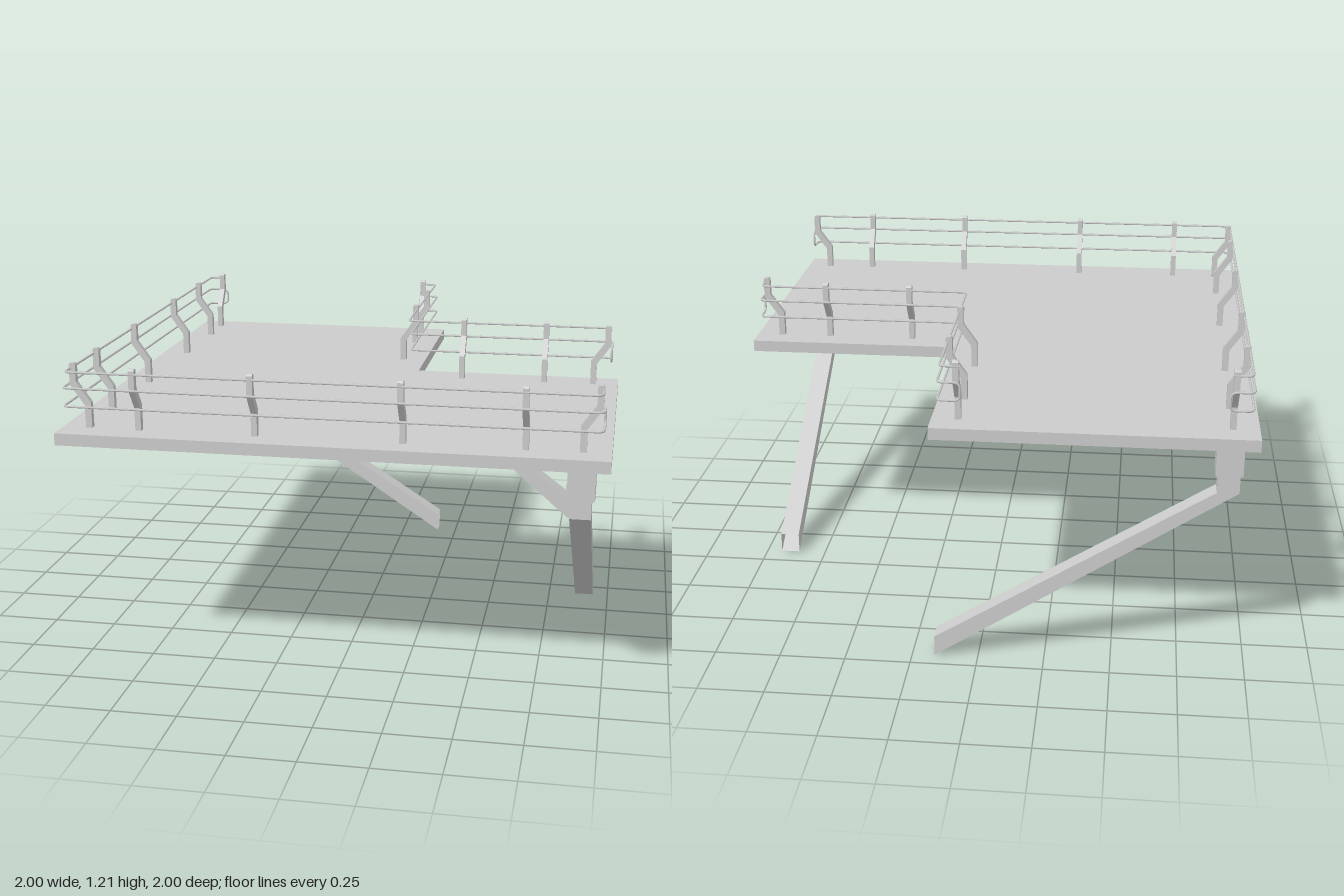
import * as THREE from 'three';

const grey = new THREE.MeshStandardMaterial({ color: 0xcccccc, flatShading: true });
const greyOpen = new THREE.MeshStandardMaterial({ color: 0xcccccc, flatShading: true, side: THREE.DoubleSide });
const smooth = new THREE.MeshStandardMaterial({ color: 0xcccccc });

function add(parent, name, geometry, material = grey) {
  const mesh = new THREE.Mesh(geometry, material);
  mesh.name = name;
  parent.add(mesh);
  return mesh;
}

// L-shaped outline, inset from the deck edge by d
function outline(d) {
  const pts = [
    [-1 + d, 1 - d], [1 - d, 1 - d], [1 - d, -0.17 + d],
    [0.165 - d, -0.17 + d], [0.165 - d, -1 + d], [-1 + d, -1 + d],
  ];
  return pts.map(([x, z]) => new THREE.Vector2(x, -z));
}

function slab(shape, y0, y1) {
  const g = new THREE.ExtrudeGeometry(shape, { depth: y1 - y0, bevelEnabled: false });
  return g.rotateX(-Math.PI / 2).translate(0, y0, 0);
}

// Open four-sided tube through stations of two [u, y] points; place() maps (u, y, w) to space
function channel(stations, place, w, half) {
  const pos = [], index = [];
  for (const [a, b] of stations) {
    pos.push(...place(...a, w - half), ...place(...b, w - half), ...place(...b, w + half), ...place(...a, w + half));
  }
  for (let s = 0; s < stations.length - 1; s++) {
    for (let i = 0; i < 4; i++) {
      const a = s * 4 + i, b = s * 4 + (i + 1) % 4;
      index.push(a, b, a + 4, b, b + 4, a + 4);
    }
  }
  const g = new THREE.BufferGeometry();
  g.setAttribute('position', new THREE.Float32BufferAttribute(pos, 3));
  g.setIndex(index);
  const flat = g.toNonIndexed();
  flat.computeVertexNormals();
  return flat;
}

// Thin round rail through points, with rounded corners
function rail(points, closed, radius = 0.0045) {
  const p = points.map((q) => new THREE.Vector3(...q));
  const n = p.length, r = 0.025;
  const toward = (a, b) => a.clone().add(b.clone().sub(a).setLength(Math.min(r, a.distanceTo(b) * 0.4)));
  const path = new THREE.CurvePath();
  let from = closed ? toward(p[0], p[1]) : p[0];
  for (let i = 1; i < (closed ? n + 1 : n - 1); i++) {
    const c = p[i % n], before = toward(c, p[i - 1]), after = toward(c, p[(i + 1) % n]);
    path.add(new THREE.LineCurve3(from, before));
    path.add(new THREE.QuadraticBezierCurve3(before, c, after));
    from = after;
  }
  if (!closed) path.add(new THREE.LineCurve3(from, p[n - 1]));
  return new THREE.TubeGeometry(path, closed ? 900 : 450, radius, 6, closed);
}

// Cranked post that leans outward along local +x
function postGeometry() {
  const t = 0.012, lean = 0.053;
  const shape = new THREE.Shape([
    [-t, 0.96], [t, 0.96], [t, 1.05], [lean + t, 1.125], [lean + t, 1.2], [lean + t - 0.005, 1.206],
    [lean - t + 0.005, 1.206], [lean - t, 1.2], [lean - t, 1.135], [-t, 1.06],
  ].map((q) => new THREE.Vector2(...q)));
  return new THREE.ExtrudeGeometry(shape, { depth: 0.022, bevelEnabled: false }).translate(0, 0, -0.011);
}

function railing(name, path, topPath, posts) {
  const g = new THREE.Group();
  g.name = name;
  add(g, 'topRail', rail(topPath.map(([x, z]) => [x, 1.186, z]), false), smooth);
  // middle and lower rails form one closed loop
  const loop = [...path.map(([x, z]) => [x, 1.128, z]), ...path.map(([x, z]) => [x, 1.06, z]).reverse()];
  add(g, 'lowerRails', rail(loop, true), smooth);
  const geo = postGeometry();
  for (const [x, z, turns] of posts) {
    const m = add(g, 'railPost', geo);
    m.position.set(x, 0, z);
    m.rotation.y = turns * Math.PI / 2;
  }
  return g;
}

export function createModel() {
  const model = new THREE.Group();
  model.name = 'platform';

  // Deck: thin plate with a deeper rim around a recessed underside
  const rim = new THREE.Shape(outline(0));
  rim.holes.push(new THREE.Path(outline(0.157)));
  add(model, 'deckPlate', slab(new THREE.Shape(outline(0)), 0.957, 0.965));
  add(model, 'deckRim', slab(rim, 0.92, 0.957));

  // Two corner supports: one runs along x at the back, its mirror runs along z on the left
  const places = {
    back: (u, y, w) => [u, y, w],
    left: (u, y, w) => [-w, y, -u],
  };
  for (const [side, place] of Object.entries(places)) {
    const support = new THREE.Group();
    support.name = side + 'Support';
    add(support, 'leg', channel([
      [[-0.94, 0.92], [-0.86, 0.92]],
      [[-0.94, 0.73], [-0.86, 0.73]],
      [[0.165, 0], [0.165, 0.08]],
    ], place, -0.9, 0.038), greyOpen);
    add(support, 'strut', channel([
      [[-0.86, 0.73], [-0.86, 0.8]],
      [[-0.64, 0.92], [-0.7, 0.92]],
    ], (u, y, w) => place(w, y, u), -0.9, 0.038), greyOpen);
    add(support, 'bracketBlock', new THREE.BoxGeometry(0.098, 0.12, 0.098))
      .position.set(...place(-0.9, 0.86, -0.9));
    model.add(support);
  }

  // Railings; posts are [x, z, quarter turns]: 0 leans to +x, 1 to -z, 2 to -x, 3 to +z
  model.add(railing('outerRailing',
    [[-0.885, -0.97], [-0.97, -0.97], [-0.97, 0.97], [0.97, 0.97], [0.97, 0.885]],
    [[-0.89, -0.962], [-0.962, -0.962], [-0.962, 0.962], [0.962, 0.962], [0.962, 0.89]],
    [
      [-0.905, -0.9, 1], [0.9, 0.895, 0], [-0.9, 0.895, 2],
      ...[-0.71, -0.325, 0.21, 0.65].map((z) => [-0.9, z, 2]),
      ...[-0.71, -0.275, 0.265, 0.7].map((x) => [x, 0.9, 3]),
    ]));
  model.add(railing('notchRailing',
    [[0.052, -0.97], [0.135, -0.97], [0.135, -0.14], [0.97, -0.14], [0.97, -0.06]],
    [[0.055, -0.962], [0.127, -0.962], [0.127, -0.132], [0.962, -0.132], [0.962, -0.065]],
    [
      [0.068, -0.9, 1], [0.9, -0.075, 0],
      ...[-0.71, -0.37].map((z) => [0.069, z, 0]),
      ...[0.36, 0.7].map((x) => [x, -0.074, 1]),
    ]));

  return model;
}
